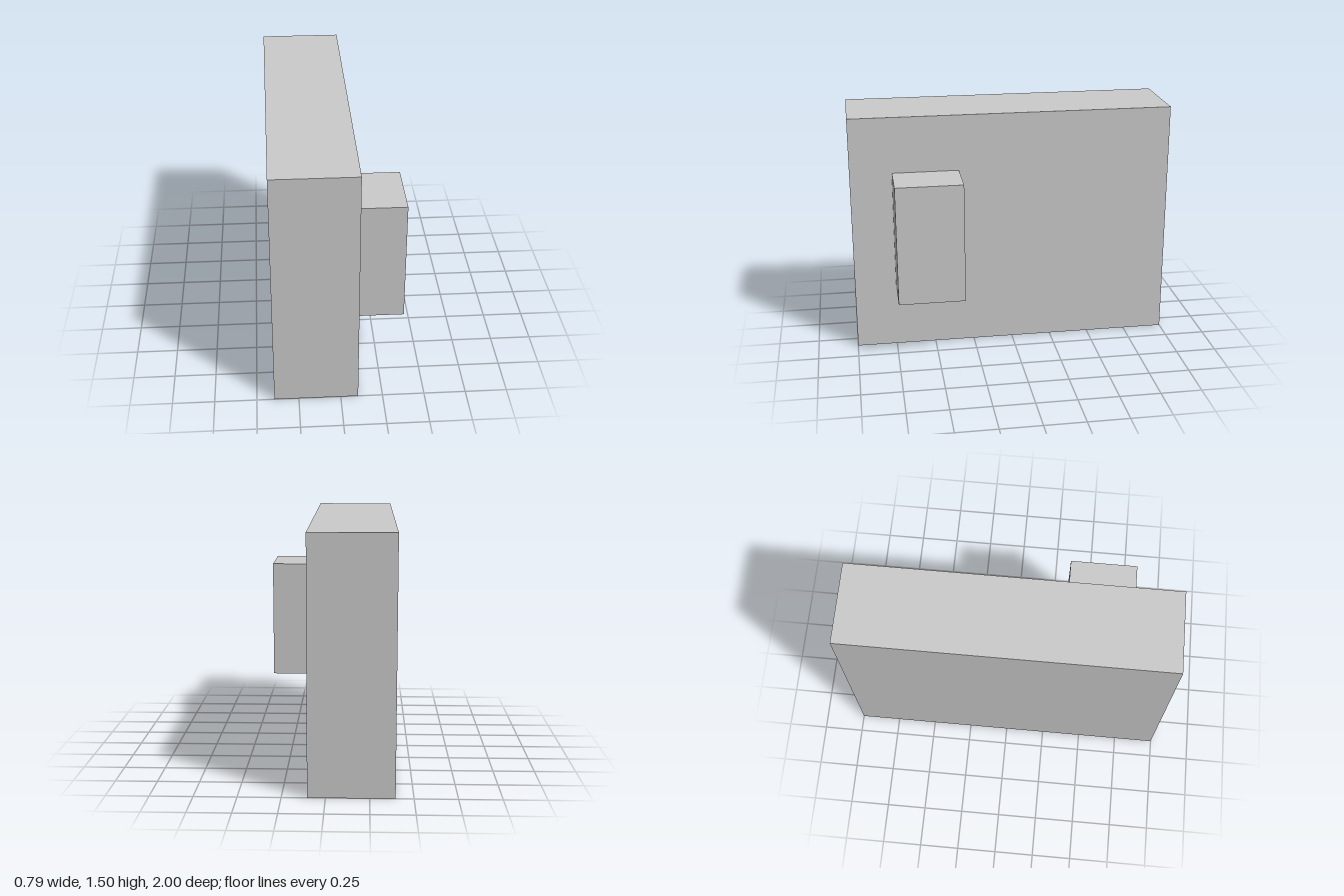
import * as THREE from 'three';

const material = new THREE.MeshStandardMaterial({ color: 0xcccccc, flatShading: true });

// Box given by its minimum and maximum corners
function block(name, min, max) {
  const size = max.map((v, i) => v - min[i]);
  const mesh = new THREE.Mesh(new THREE.BoxGeometry(...size), material);
  mesh.position.set(...min.map((v, i) => (v + max[i]) / 2));
  mesh.name = name;
  return mesh;
}

export function createModel() {
  const group = new THREE.Group();
  group.name = 'blockWithSideProjection';
  // Upright main slab
  group.add(block('mainSlab', [-0.396, 0, -1], [0.104, 1.5, 1]));
  // Smaller block standing out from the slab's left face
  group.add(block('sideBlock', [0.104, 0.4, 0.331], [0.396, 1.15, 0.742]));
  return group;
}
